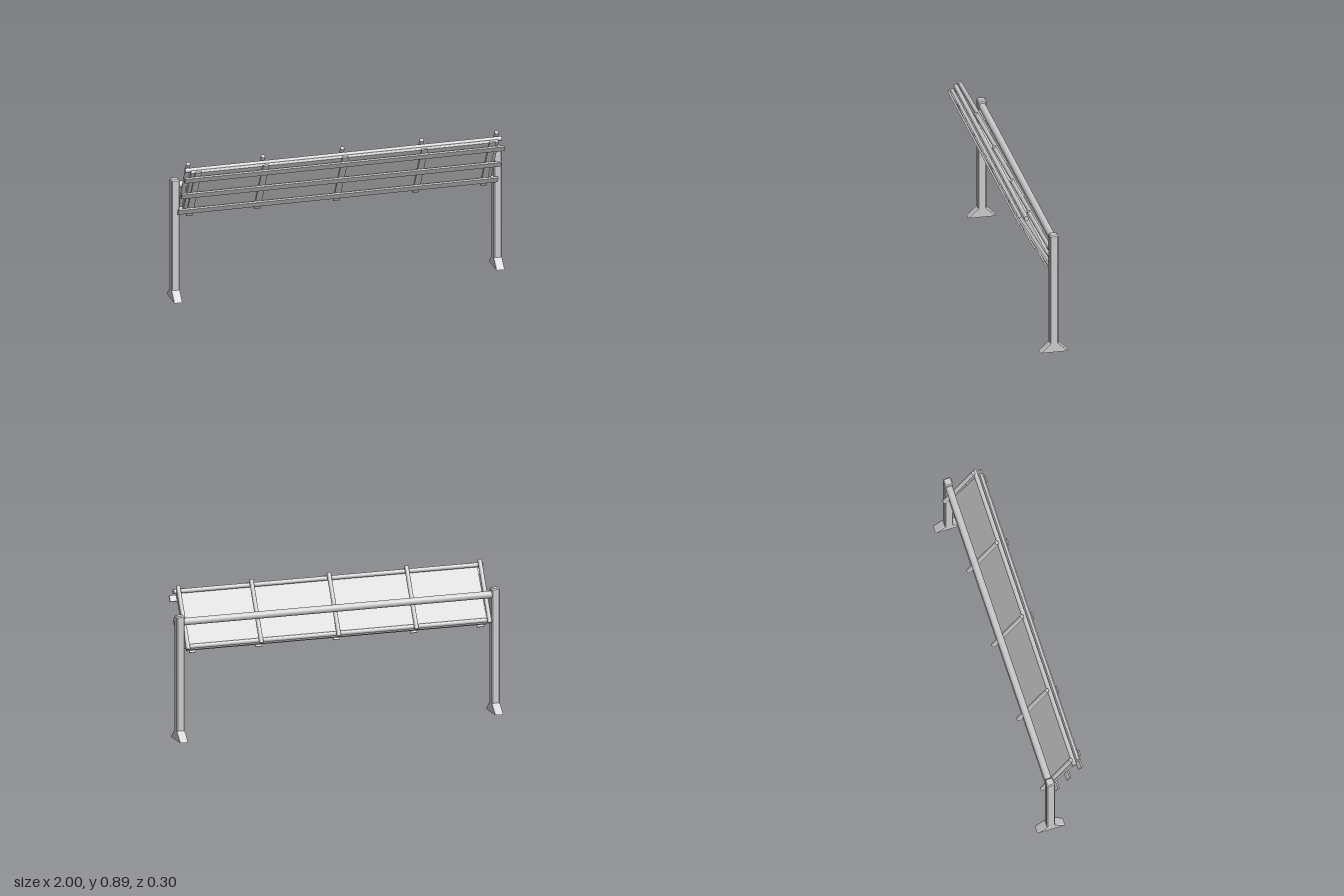
import * as THREE from 'three';

const grey = new THREE.MeshStandardMaterial({ color: 0xcccccc });
const greyFlat = new THREE.MeshStandardMaterial({ color: 0xcccccc, flatShading: true });

function add(parent, name, geometry, x, y, z, material = grey) {
  const mesh = new THREE.Mesh(geometry, material);
  mesh.name = name;
  mesh.position.set(x, y, z);
  parent.add(mesh);
  return mesh;
}

// Pipe lying along x
function pipe(parent, name, radius, length, y, z) {
  const mesh = add(parent, name, new THREE.CylinderGeometry(radius, radius, length, 24), 0, y, z);
  mesh.rotation.z = Math.PI / 2;
}

// Post: chamfered rectangular sections, flared at the foot, bevelled at the top
function postGeometry() {
  const sections = [ // height, half width, half depth, chamfer
    [0, 0.025, 0.085, 0.006],
    [0.057, 0.025, 0.0255, 0.006],
    [0.737, 0.025, 0.0255, 0.006],
    [0.744, 0.019, 0.0195, 0.005],
  ];
  const loops = sections.map(([y, w, d, c]) => [
    [w, d - c], [w, c - d], [w - c, -d], [c - w, -d],
    [-w, c - d], [-w, d - c], [c - w, d], [w - c, d],
  ].map(([x, z]) => [x, y, z]));
  const points = [];
  const tri = (...corners) => corners.forEach((p) => points.push(...p));
  const top = loops[loops.length - 1];
  for (let i = 0; i < 8; i++) {
    const j = (i + 1) % 8;
    for (let k = 0; k < loops.length - 1; k++) {
      const low = loops[k], high = loops[k + 1];
      tri(low[i], low[j], high[j]);
      tri(low[i], high[j], high[i]);
    }
    tri([0, 0.744, 0], top[i], top[j]);
    tri([0, 0, 0], loops[0][j], loops[0][i]);
  }
  const geometry = new THREE.BufferGeometry();
  geometry.setAttribute('position', new THREE.Float32BufferAttribute(points, 3));
  geometry.computeVertexNormals();
  return geometry;
}

export function createModel() {
  const model = new THREE.Group();
  model.name = 'tiltedPanelFrame';

  // Posts and the thick tube spanning them
  const post = postGeometry();
  add(model, 'leftPost', post, 0.975, 0, -0.0625, greyFlat);
  add(model, 'rightPost', post, -0.975, 0, -0.0625, greyFlat);
  pipe(model, 'mainTube', 0.0215, 1.91, 0.705, -0.0635);

  // Sloping rods behind the panel
  const rod = new THREE.CylinderGeometry(0.013, 0.013, 0.381, 20);
  for (const x of [-0.933, -0.48, 0, 0.48, 0.933]) {
    add(model, 'rod', rod, x, 0.714, -0.009).rotation.x = THREE.MathUtils.degToRad(27.5);
  }

  // Pipes between rods and panel
  pipe(model, 'upperPipe', 0.0135, 1.915, 0.848, 0.094);
  pipe(model, 'lowerPipe', 0.0135, 1.915, 0.552, -0.059);

  // Panel assembly leaning forward
  const panel = new THREE.Group();
  panel.name = 'panelAssembly';
  panel.position.set(0, 0.681, 0.046);
  panel.rotation.x = Math.PI / 6;
  model.add(panel);

  add(panel, 'panel', new THREE.BoxGeometry(1.86, 0.366, 0.02), 0, 0, -0.015);
  const strip = new THREE.BoxGeometry(0.038, 0.39, 0.01);
  for (const x of [-0.89, -0.48, 0, 0.48, 0.89]) add(panel, 'verticalStrip', strip, x, 0, 0);
  const bar = new THREE.BoxGeometry(1.936, 0.038, 0.012);
  for (const y of [-0.142, 0, 0.142]) add(panel, 'horizontalBar', bar, 0, y, 0.011);

  return model;
}
